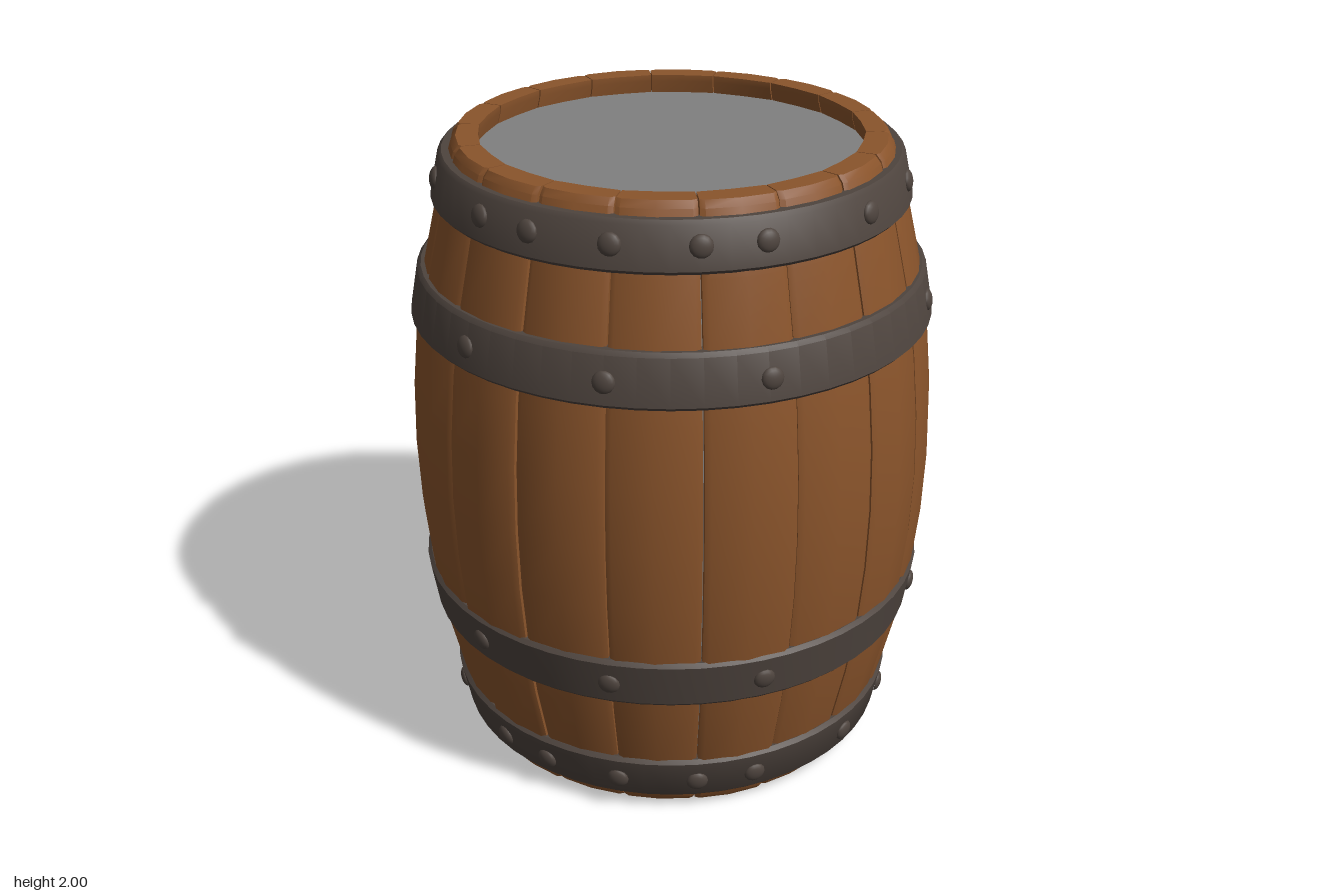
import * as THREE from 'three';
import { toCreasedNormals } from 'three/addons/utils/BufferGeometryUtils.js';

const STAVES = 18;
const bulge = (y) => 0.823 - 0.167 * (y - 1) ** 2;

// One curved plank: a wedge-shaped section swept up the barrel's bulge
function staveGeometry(a0, a1, shift) {
  const levels = [0, 0.02, 0.2, 0.4, 0.6, 0.8, 1, 1.2, 1.4, 1.6, 1.8, 1.98, 2];
  const pos = [], index = [];
  const gap = 0.003, bevel = 0.025, mid = (a0 + a1) / 2;
  levels.forEach((y, j) => {
    const end = j === 0 || j === levels.length - 1;
    const r = bulge(y) + shift - (end ? 0.01 : 0);
    const inner = bulge(y) - 0.082 + (end ? 0.006 : 0);
    const section = [
      [mid, r], [a1 - bevel, r - 0.002], [a1 - gap, r - 0.01], [a1 - gap, inner],
      [mid, inner - 0.004], [a0 + gap, inner], [a0 + gap, r - 0.01], [a0 + bevel, r - 0.002],
    ];
    for (const [a, rad] of section) pos.push(Math.sin(a) * rad, y, Math.cos(a) * rad);
  });
  const n = 8, top = (levels.length - 1) * n;
  for (let j = 0; j < levels.length - 1; j++) {
    for (let i = 0; i < n; i++) {
      const a = j * n + i, b = j * n + (i + 1) % n;
      index.push(a, b, b + n, a, b + n, a + n);
    }
  }
  for (let i = 1; i < n - 1; i++) {
    index.push(top, top + i, top + i + 1, 0, i + 1, i);
  }
  const g = new THREE.BufferGeometry();
  g.setAttribute('position', new THREE.Float32BufferAttribute(pos, 3));
  g.setIndex(index);
  return toCreasedNormals(g, 0.6);
}

// Turned shape from [radius, height] pairs
function turned(profile, segments) {
  const points = profile.map(([r, y]) => new THREE.Vector2(r, y));
  return toCreasedNormals(new THREE.LatheGeometry(points, segments), 0.6);
}

// Tapered iron band with softened edges
function hoopGeometry(y0, y1, r0, r1) {
  const b = 0.012, depth = 0.05;
  return turned([
    [r0 - depth, y0], [r0 - b, y0], [r0, y0 + b],
    [r1, y1 - b], [r1 - b, y1], [r1 - depth, y1], [r0 - depth, y0],
  ], 54);
}

export function createModel() {
  const wood = new THREE.MeshStandardMaterial({ color: 0x8a542b });
  wood.name = 'oak brown';
  const iron = new THREE.MeshStandardMaterial({ color: 0x4e443e });
  iron.name = 'dark iron';
  const lining = new THREE.MeshStandardMaterial({ color: 0x808080 });
  lining.name = 'grey lining';

  const barrel = new THREE.Group();
  barrel.name = 'barrel';
  const add = (parent, geometry, material, name) => {
    const mesh = new THREE.Mesh(geometry, material);
    mesh.name = name;
    parent.add(mesh);
    return mesh;
  };

  // Staves, with a seam at the front centre
  const staves = new THREE.Group();
  staves.name = 'staves';
  barrel.add(staves);
  const step = (Math.PI * 2) / STAVES;
  for (let i = 0; i < STAVES; i++) {
    const shift = [0, 0.003, -0.002][i % 3];
    add(staves, staveGeometry(i * step, (i + 1) * step, shift), wood, 'stave');
  }

  // Grey core: shows in the seams and closes both ends just inside the rims
  const wall = [0.06, 0.4, 0.7, 1, 1.3, 1.6, 1.94].map((y) => [bulge(y) - 0.03, y]);
  add(barrel, turned([[0, 0.06], ...wall, [0, 1.94]], 54), lining, 'core');

  // Hoops from bottom to top, each with domed rivets
  const rivet = new THREE.SphereGeometry(0.034, 14, 6, 0, Math.PI * 2, 0, Math.PI / 2);
  rivet.rotateX(Math.PI / 2);
  rivet.scale(1, 1, 0.5);
  const endAngles = [0, 20, 35, 65, 90], middleAngles = [0, 34, 90];
  const hoops = [
    { name: 'lowerEndHoop', y0: 0.05, y1: 0.205, r0: 0.7, r1: 0.727, rivetY: 0.12, angles: endAngles },
    { name: 'lowerMiddleHoop', y0: 0.453, y1: 0.618, r0: 0.785, r1: 0.808, rivetY: 0.532, angles: middleAngles },
    { name: 'upperMiddleHoop', y0: 1.447, y1: 1.61, r0: 0.808, r1: 0.782, rivetY: 1.523, angles: middleAngles },
    { name: 'upperEndHoop', y0: 1.813, y1: 1.96, r0: 0.727, r1: 0.7, rivetY: 1.893, angles: endAngles },
  ];
  for (const { name, y0, y1, r0, r1, rivetY, angles } of hoops) {
    const hoop = new THREE.Group();
    hoop.name = name;
    barrel.add(hoop);
    add(hoop, hoopGeometry(y0, y1, r0, r1), iron, 'band');

    // Quarter pattern reflected to the full circle
    const all = new Set();
    for (const a of angles) [a, -a, 180 - a, a - 180].forEach((v) => all.add((v + 360) % 360));
    const r = (r0 + r1) / 2 - 0.002;
    const tilt = Math.atan2(r1 - r0, y1 - y0);
    for (const deg of all) {
      const a = THREE.MathUtils.degToRad(deg);
      const m = add(hoop, rivet, iron, 'rivet');
      m.position.set(Math.sin(a) * r, rivetY, Math.cos(a) * r);
      m.rotation.set(tilt, a, 0, 'YXZ');
    }
  }
  return barrel;
}
